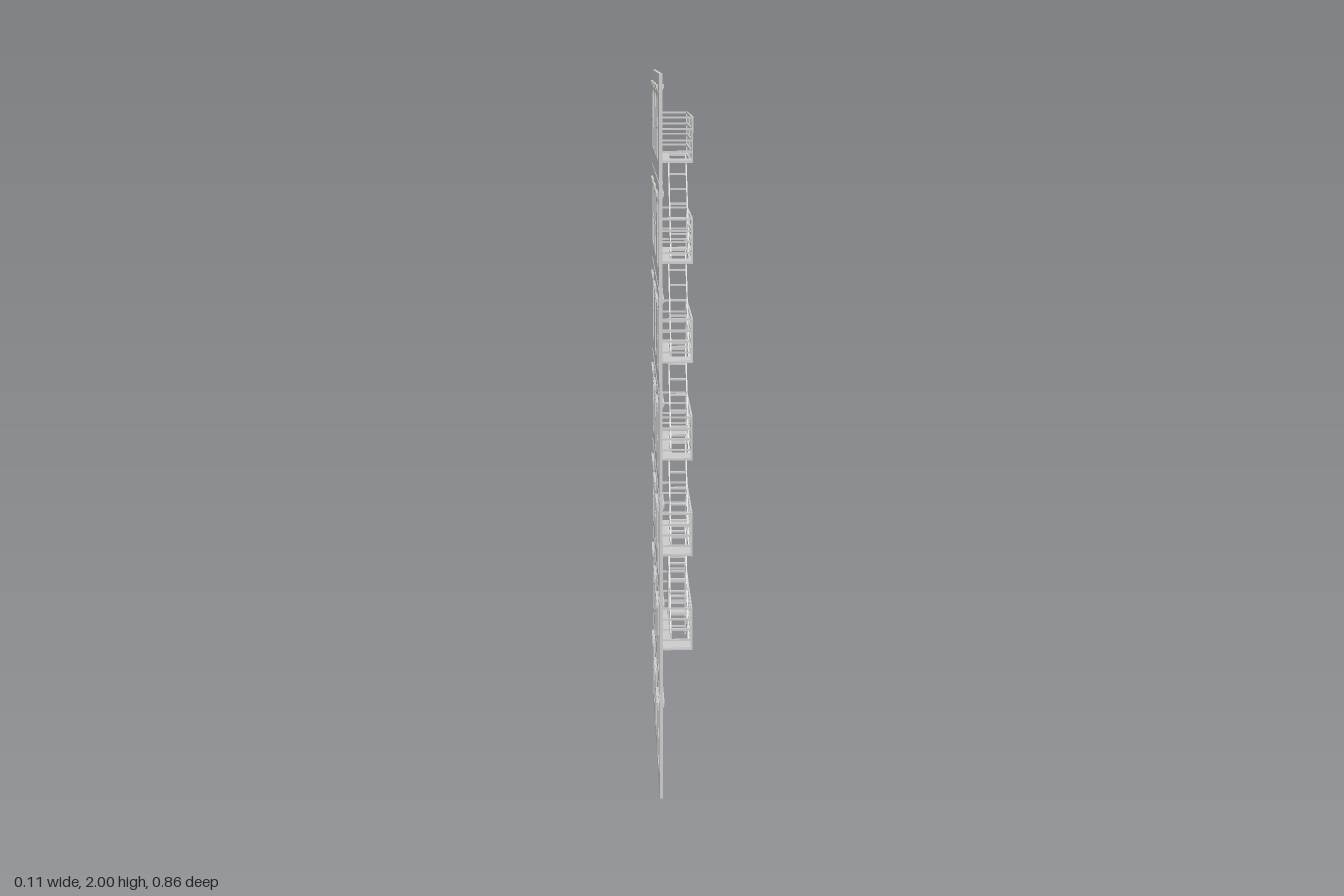
import * as THREE from 'three';

const STOREYS = 7, STOREY = 2 / STOREYS, WALL_X = -0.045;
const Z0 = -0.355, Z1 = 0.064, OUT = 0.0525, IN = -0.038; // balcony rail lines

export function createModel() {
  const root = new THREE.Group();
  root.name = 'fireEscapeFacade';
  const mat = new THREE.MeshStandardMaterial({ color: 0xcccccc, flatShading: true });

  const add = (parent, name, geo, x = 0, y = 0, z = 0) => {
    const m = new THREE.Mesh(geo, mat);
    m.name = name;
    m.position.set(x, y, z);
    parent.add(m);
    return m;
  };
  const box = (parent, name, w, h, d, x, y, z) =>
    add(parent, name, new THREE.BoxGeometry(w, h, d), x, y, z);
  const group = (parent, name, y = 0) => {
    const g = new THREE.Group();
    g.name = name;
    g.position.y = y;
    parent.add(g);
    return g;
  };

  // Wall slab
  box(root, 'wall', 0.009, 2, 0.86, WALL_X, 1, 0);

  // Lintel: tapered section, wider at the top, run along z
  const section = new THREE.Shape([
    [-0.004, 0], [0.004, 0], [0.011, 0.016], [0.011, 0.022], [-0.011, 0.022], [-0.011, 0.016],
  ].map(([x, y]) => new THREE.Vector2(x, y)));
  const lintelGeo = new THREE.ExtrudeGeometry(section, { depth: 0.143, bevelEnabled: false });
  lintelGeo.translate(0, 0, -0.0715);

  // Storeys: belt course and three sash windows, showing on both wall faces
  for (let s = 0; s < STOREYS; s++) {
    const storey = group(root, 'storey', s * STOREY);
    if (s > 0) box(storey, 'beltCourse', 0.0125, 0.005, 0.86, WALL_X, 0, 0);
    for (const z of [-2 / 7, 0, 2 / 7]) {
      const win = group(storey, 'window');
      win.position.z = z;
      add(win, 'lintel', lintelGeo, WALL_X, 0.233, 0);
      for (const side of [-1, 1])
        box(win, 'jamb', 0.0125, 0.17, 0.005, WALL_X, 0.14, side * 0.056);
      for (const y of [0.057, 0.14, 0.223])
        box(win, 'sashRail', 0.0125, 0.005, 0.112, WALL_X, y, 0);
    }
  }

  // Balcony floor with a stair opening; shape drawn in (x, -z) then laid flat
  const rect = (S, x0, x1, z0, z1) => {
    const p = new S();
    p.moveTo(x0, -z1);
    p.lineTo(x1, -z1);
    p.lineTo(x1, -z0);
    p.lineTo(x0, -z0);
    p.closePath();
    return p;
  };
  const floor = rect(THREE.Shape, -0.041, OUT, Z0, Z1);
  floor.holes.push(rect(THREE.Path, -0.007, 0.048, -0.295, -0.018));
  const floorGeo = new THREE.ExtrudeGeometry(floor, { depth: 0.007, bevelEnabled: false });
  floorGeo.rotateX(-Math.PI / 2);

  const BAR = 0.0055, midZ = (Z0 + Z1) / 2, midX = (IN + OUT) / 2;
  for (let k = 0; k < 6; k++) {
    const balcony = group(root, 'balcony', 0.318 + k * STOREY);
    add(balcony, 'balconyFloor', floorGeo);

    // Railing on the three open sides
    for (const y of [0.003, 0.031, 0.063, 0.094, 0.127]) {
      box(balcony, 'frontRail', BAR, BAR, Z1 - Z0 + BAR, OUT, y, midZ);
      for (const z of [Z0, Z1])
        box(balcony, 'sideRail', OUT - IN, BAR, BAR, midX, y, z);
    }
    for (const [x, z] of [[OUT, Z0], [OUT, midZ], [OUT, Z1], [IN, Z0], [IN, Z1]])
      box(balcony, 'railPost', BAR, 0.13, BAR, x, 0.065, z);

    // Stair up to the next balcony
    if (k < 5) {
      const stair = group(balcony, 'stair');
      const dz = -0.275, dy = STOREY;
      for (const x of [-0.005, 0.047]) {
        const s = box(stair, 'stringer', 0.004, 0.012, Math.hypot(dz, dy), x, dy / 2, -0.015 + dz / 2);
        s.rotation.x = Math.atan2(dy, -dz);
      }
      for (let i = 0; i < 7; i++) {
        const t = (i + 0.75) / 7;
        box(stair, 'tread', 0.052, 0.005, 0.014, 0.021, dy * t, -0.015 + dz * t);
      }
    }
  }

  // Drop ladder through the lowest balcony
  const ladder = group(root, 'dropLadder');
  for (const x of [-0.005, 0.047])
    box(ladder, 'ladderRail', 0.005, 0.27, 0.008, x, 0.395, -0.286);
  for (let i = 0; i < 7; i++)
    box(ladder, 'ladderRung', 0.052, 0.005, 0.006, 0.021, 0.287 + i * 0.037, -0.286);

  return root;
}
